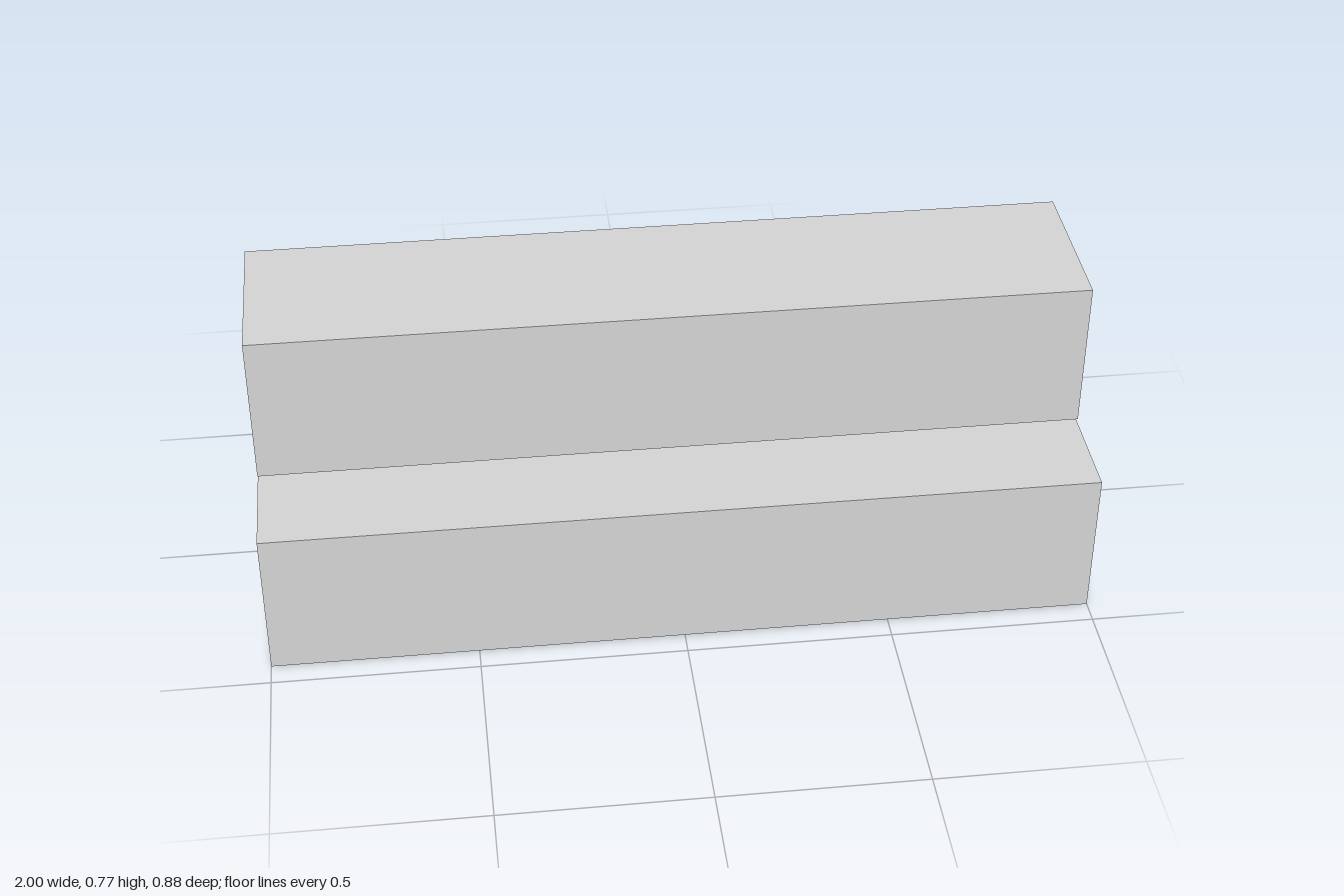
import * as THREE from 'three';

export function createModel() {
  const group = new THREE.Group();
  group.name = 'stackedBeams';
  const lightGrey = new THREE.MeshStandardMaterial({ color: 0xd3d3d3 });
  lightGrey.name = 'lightGrey';

  // Three identical beams: two side by side, one resting above the gap
  const beam = new THREE.BoxGeometry(2, 0.38, 0.402);
  const addBeam = (name, bottom, z) => {
    const mesh = new THREE.Mesh(beam, lightGrey);
    mesh.name = name;
    mesh.position.set(0, bottom + 0.19, z);
    group.add(mesh);
  };
  addBeam('frontBeam', 0, 0.241);
  addBeam('backBeam', 0, -0.241);
  addBeam('topBeam', 0.391, 0);

  return group;
}
